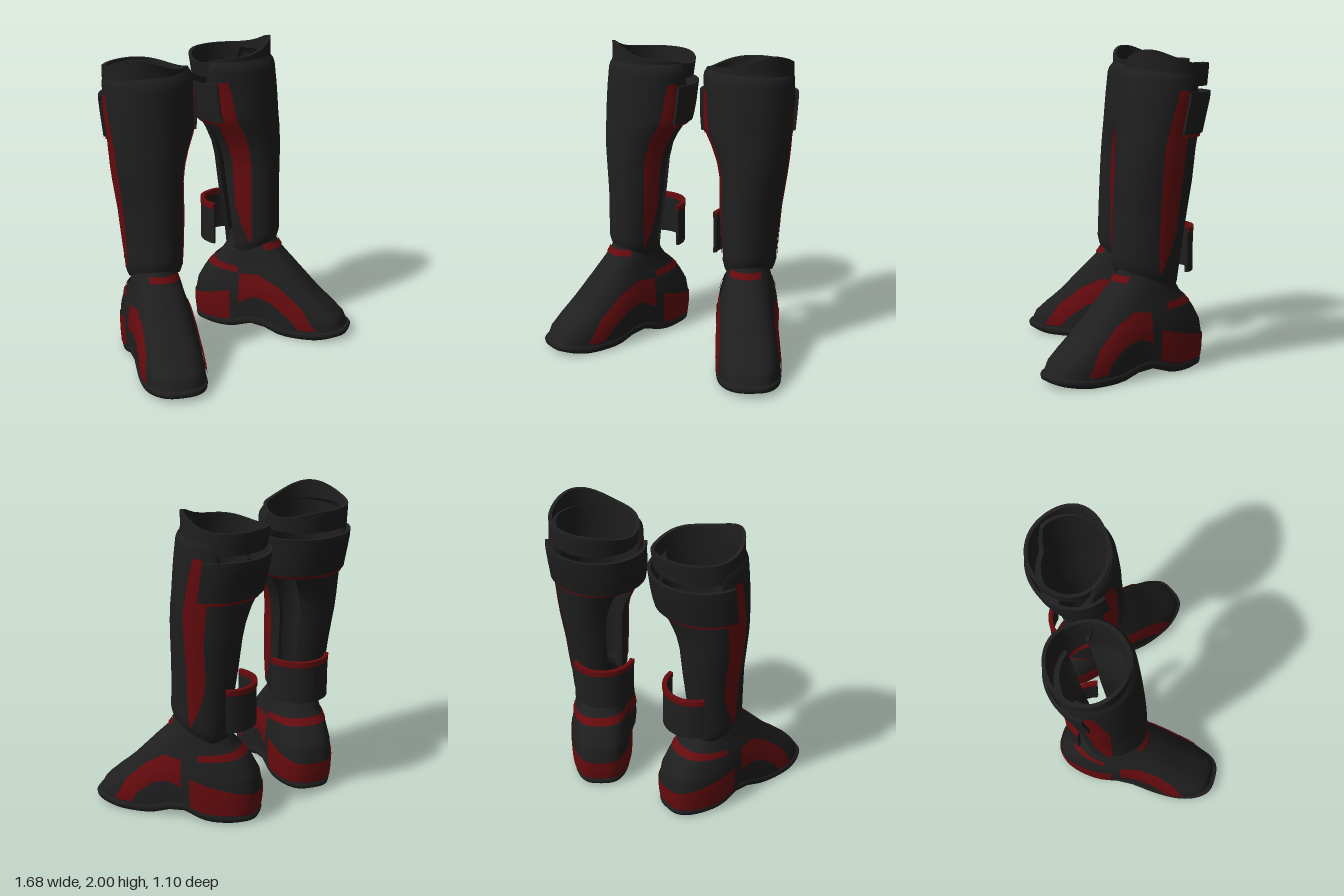
import * as THREE from 'three';
import { mergeGeometries } from 'three/addons/utils/BufferGeometryUtils.js';

const black = new THREE.MeshStandardMaterial({ color: 0x1f1f1f, side: THREE.DoubleSide });
black.name = 'black leather';
const red = new THREE.MeshStandardMaterial({ color: 0x660b0e, side: THREE.DoubleSide });
red.name = 'dark red trim';

const YAW = 29; // how far the foot turns outward, degrees
const RAD = Math.PI / 180;
const step = (x, a, b) => THREE.MathUtils.smoothstep(x, a, b);

// Interpolate a small table whose first column is the key
function sample(rows, key) {
  let i = 0;
  while (i < rows.length - 2 && key > rows[i + 1][0]) i++;
  const a = rows[i], b = rows[i + 1];
  const t = THREE.MathUtils.clamp((key - a[0]) / (b[0] - a[0]), 0, 1);
  return a.slice(1).map((n, k) => n + (b[k + 1] - n) * t);
}

// Surface from f(u, v) -> [x, y, z], u and v in 0..1
function grid(f, nu, nv, wrap = false) {
  const pos = [], idx = [], cols = wrap ? nu : nu + 1;
  for (let j = 0; j <= nv; j++)
    for (let i = 0; i < cols; i++) pos.push(...f(i / nu, j / nv));
  for (let j = 0; j < nv; j++)
    for (let i = 0; i < nu; i++) {
      const a = j * cols + i, b = j * cols + (i + 1) % cols;
      idx.push(a, b, b + cols, a, b + cols, a + cols);
    }
  const g = new THREE.BufferGeometry();
  g.setAttribute('position', new THREE.Float32BufferAttribute(pos, 3));
  g.setIndex(idx);
  g.computeVertexNormals();
  return g;
}

// Thick sheet from f(u, v, offset), with sharp rims
function slab(f, nu, nv, thick) {
  return mergeGeometries([
    grid((u, v) => f(u, v, 0), nu, nv),
    grid((u, v) => f(1 - u, v, -thick), nu, nv),
    grid((u, v) => f(u, 1, -thick * v), nu, 1),
    grid((u, v) => f(1 - u, 0, -thick * v), nu, 1),
    grid((u, v) => f(1, v, -thick * u), 1, nv),
    grid((u, v) => f(0, v, -thick * (1 - u)), 1, nv),
  ]);
}

// ---- Leg: ellipse sections [y, centre x, radius x, centre z, radius z]
const LEG = [
  [0.5, 0.402, 0.155, -0.115, 0.195], [0.65, 0.403, 0.163, -0.12, 0.21], [0.8, 0.396, 0.174, -0.132, 0.218],
  [1, 0.391, 0.187, -0.15, 0.23], [1.2, 0.395, 0.205, -0.17, 0.24], [1.3, 0.388, 0.223, -0.178, 0.243],
  [1.4, 0.368, 0.25, -0.187, 0.247], [1.5, 0.338, 0.282, -0.2, 0.255],
  [1.6, 0.332, 0.29, -0.215, 0.263], [1.7, 0.329, 0.292, -0.23, 0.27], [1.9, 0.312, 0.297, -0.25, 0.272],
];
// psi is measured from the toe direction, positive toward the outer side
function legAt(psi, y, o) {
  const [cx, rx, cz, rz] = sample(LEG, y), a = (psi + YAW) * RAD;
  return [cx + (rx + o) * Math.sin(a), y, cz + (rz + o) * Math.cos(a)];
}
// Guard wraps round the back and leaves a slit at the inner rear
function shinAt(u, v, o) {
  const psi = -120 + 325 * u;
  const bottom = 0.575 + 0.08 * Math.cos(psi * RAD);
  const top = 1.885 - 0.25 * step(Math.abs(psi), 96, 118);
  const y = bottom + v * (top - bottom);
  const round = -0.025 * step(y, top - 0.045, top + 0.005) - 0.015 * (1 - step(y - bottom, 0, 0.05));
  return legAt(psi, y, o + round);
}
function cuffAt(u, v, o) {
  const psi = 360 * u - 180, phi = psi + YAW;
  const top = 1.915 + 0.085 * Math.max(0, Math.cos((phi - 57) * RAD)) ** 3
    - 0.045 * Math.max(0, Math.cos((phi + 95) * RAD)) ** 4;
  return legAt(psi, 1.78 + v * (top - 1.78), o - 0.016 - 0.016 * Math.cos((phi + 20) * RAD));
}
const band = (p0, p1, y0, y1, out) => (u, v, o) => legAt(p0 + u * (p1 - p0), y0 + v * (y1 - y0), o + out);
const STRIPE = [[0.64, 80, 83], [0.75, 76, 95], [0.9, 73, 104], [1.2, 68, 100],
  [1.4, 66, 101], [1.5, 68, 100], [1.65, 71, 94], [1.76, 74, 86]];
const stripe = (s) => (u, v) => {
  const y = 0.64 + 1.12 * v, [lo, hi] = sample(STRIPE, y), k = s > 0 ? u : 1 - u;
  return legAt(s * (lo + k * (hi - lo)), y, 0.006);
};
// Loose lower strap curling round the calf
const lowStrap = (y0, y1, out) => (u, v, o) => {
  const a = (138 + 147 * u) * RAD, r = o + out;
  return [0.3 + (0.2 + r) * Math.sin(a), y0 + v * (y1 - y0), -0.23 + (0.205 + r) * Math.cos(a)];
};

// ---- Foot: horizontal sections [y, heel z, toe z, half width, corner power]
const FOOT = [
  [0.04, -0.165, 0.9, 0.197, 0.66], [0.12, -0.175, 0.865, 0.2, 0.66], [0.2, -0.178, 0.79, 0.2, 0.67],
  [0.3, -0.16, 0.68, 0.195, 0.7], [0.4, -0.105, 0.585, 0.18, 0.75], [0.48, -0.03, 0.51, 0.16, 0.8],
  [0.56, 0.025, 0.43, 0.146, 0.87], [0.62, 0.045, 0.39, 0.13, 0.95], [0.68, 0.06, 0.365, 0.12, 1],
];
const bump = (z) => Math.exp(-(((z - 0.3) / 0.13) ** 2));
function footPoint(x, y, z) { // waist, toe and arch, then turn outward
  const low = 1 - step(y, 0.05, 0.42);
  x *= 1 + low * (0.08 * step(z, 0.4, 0.75) - 0.07 * bump(z));
  x -= 0.022 * step(z, 0.1, 0.5);
  y += low * (0.055 * bump(z) + 0.02 * step(z, 0.7, 0.92));
  const c = Math.cos(YAW * RAD), s = Math.sin(YAW * RAD);
  return [0.3 + x * c + z * s, y, -0.3 - x * s + z * c];
}
const pw = (n, p) => Math.sign(n) * Math.abs(n) ** p;
function footAt(deg, y, e, k = 1) { // by angle round the foot
  const [zb, zf, w, p] = sample(FOOT, y), a = deg * RAD;
  return footPoint(k * (w + e) * pw(Math.sin(a), p), y, (zb + zf) / 2 + k * ((zf - zb) / 2 + e) * pw(Math.cos(a), p));
}
function footSide(z, y, side, e) { // by distance along the foot
  const [zb, zf, w, p] = sample(FOOT, y), L = (zf - zb) / 2 + e;
  const c = Math.min(1, Math.abs((z - (zb + zf) / 2) / L) ** (1 / p));
  return footPoint(side * (w + e) * (1 - c * c) ** (p / 2), y, z);
}
// Panel round the heel; each edge is a pair of heights [at the back, at the sides]
const heel = (zOuter, zInner, low, high, e) => (u, v) => {
  const t = 1 - 2 * u, q = t * t;
  const y0 = low[0] + (low[1] - low[0]) * q, y1 = high[0] + (high[1] - high[0]) * q;
  const y = y0 + v * (y1 - y0), zb = sample(FOOT, y)[0] - e;
  return footSide(zb + ((t > 0 ? zOuter : zInner) - zb) * q, y, Math.sign(t), e);
};
// Arched side flash: [t, upper z, upper y, lower z, lower y]
const FLASH = [[0, 0.74, 0.07, 0.62, 0.07], [0.25, 0.66, 0.22, 0.58, 0.14],
  [0.5, 0.52, 0.35, 0.48, 0.22], [0.75, 0.4, 0.42, 0.38, 0.235], [1, 0.285, 0.41, 0.28, 0.18]];
const flash = (s) => (u, v) => {
  const t = s > 0 ? u : 1 - u, [zu, yu, zl, yl] = sample(FLASH, t);
  const back = s > 0 ? 0 : 0.1 * t; // reaches further back on the inner side
  return footSide(zl + v * (zu - zl) - back, yl + v * (yu - yl), s, 0.009);
};
// Sole rows: [scale, y]
const SOLE = [[0, 0], [0.5, 0], [0.96, 0], [1.025, 0.014], [1.035, 0.035], [1.015, 0.052], [0.95, 0.056], [0.5, 0.056], [0, 0.056]];
function soleAt(u, v) {
  const [k, y] = SOLE[Math.round(v * (SOLE.length - 1))];
  const p = footAt(360 * u, 0.04, 0, k);
  p[1] += y - 0.04;
  return p;
}

function createBoot(name, mirror) {
  const boot = new THREE.Group();
  boot.name = name;
  const add = (part, geometry, material) => {
    if (mirror) {
      geometry.scale(-1, 1, 1);
      geometry.index.array.reverse();
    }
    const mesh = new THREE.Mesh(geometry, material);
    mesh.name = part;
    boot.add(mesh);
  };
  // Shin guard, cuff and straps
  add('shinGuard', slab(shinAt, 72, 44, 0.025), black);
  add('topCuff', slab(cuffAt, 64, 6, 0.022), black);
  add('upperStrap', slab(band(88, 272, 1.495, 1.745, 0.026), 36, 6, 0.022), black);
  add('upperStrapTrim', slab(band(94, 266, 1.472, 1.5, 0.014), 36, 1, 0.009), red);
  add('lowerStrap', slab(lowStrap(0.62, 0.9, 0), 28, 2, 0.02), black);
  add('lowerStrapTrim', slab(lowStrap(0.868, 0.903, 0.004), 28, 1, 0.028), red);
  // Foot
  add('sole', grid(soleAt, 72, SOLE.length - 1, true), black);
  add('footUpper', grid((u, v) => footAt(360 * u, 0.04 + 0.64 * v, 0), 72, 32, true), black);
  add('heelCounter', grid(heel(0.265, 0.16, [0.05, 0.05], [0.49, 0.52], 0.009), 40, 16), black);
  add('heelBand', grid(heel(0.22, 0.12, [0.06, 0.06], [0.2, 0.285], 0.015), 40, 8), red);
  add('heelTopStrip', grid(heel(0.17, 0.17, [0.43, 0.415], [0.472, 0.455], 0.016), 32, 2), red);
  add('ankleStrip', grid((u, v) => footAt(-55 + 90 * u, 0.585 + 0.038 * v, 0.009), 20, 2), red);
  for (const s of [1, -1]) {
    add(s > 0 ? 'outerShinStripe' : 'innerShinStripe', grid(stripe(s), 8, 40), red);
    add(s > 0 ? 'outerFootFlash' : 'innerFootFlash', grid(flash(s), 28, 10), red);
  }
  return boot;
}

export function createModel() {
  const model = new THREE.Group();
  model.name = 'bootPair';
  model.add(createBoot('leftBoot', false));
  // The right boot is mirrored and turned out slightly less about its heel
  const pivot = new THREE.Group();
  pivot.name = 'rightBootPivot';
  pivot.position.set(-0.368, 0, -0.3);
  pivot.rotation.y = 3.5 * RAD;
  const right = createBoot('rightBoot', true);
  right.position.set(0.3, 0, 0.3);
  pivot.add(right);
  model.add(pivot);
  return model;
}
